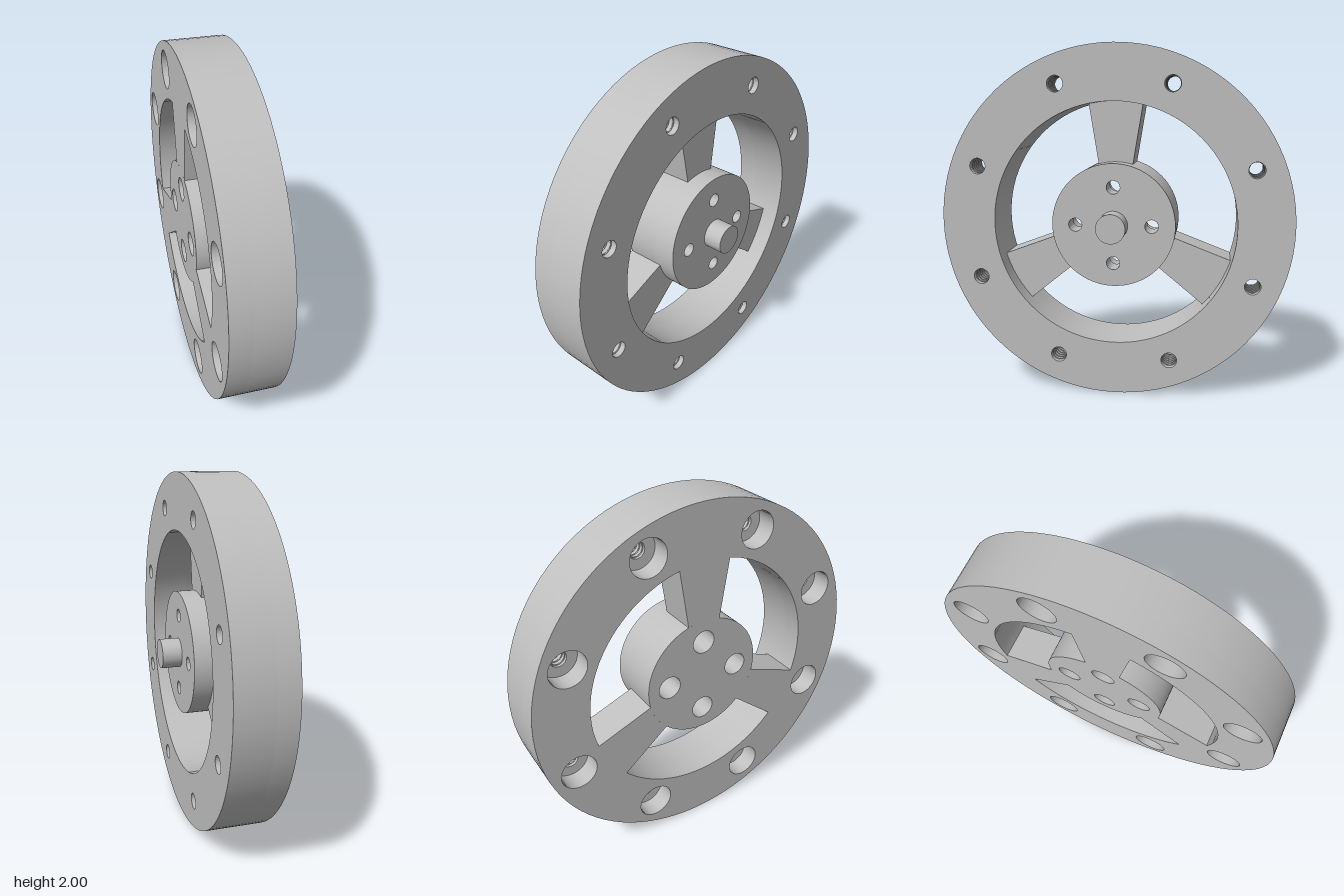
import * as THREE from 'three';
import { toCreasedNormals } from 'three/addons/utils/BufferGeometryUtils.js';

const BACK = -0.215, FRONT = 0.105;      // wheel faces along the axle
const SPOKE_FRONT = 0;                   // spokes are recessed from the front
const RIM_R = 1, RIM_INNER = 0.69, HUB_R = 0.35;

const steel = new THREE.MeshStandardMaterial({ color: 0xbfbfbf });
steel.name = 'steel grey';

// Extrude a shape (drawn as seen from the +x side) from x0 to x1
function plate(name, shape, x0, x1) {
  const geo = new THREE.ExtrudeGeometry(shape, { depth: x1 - x0, bevelEnabled: false, curveSegments: 48 });
  geo.rotateY(Math.PI / 2);
  geo.translate(x0, 0, 0);
  const mesh = new THREE.Mesh(toCreasedNormals(geo, 0.5), steel);
  mesh.name = name;
  return mesh;
}

function circle(r, cx = 0, cy = 0, Type = THREE.Path) {
  return new Type().absarc(cx, cy, r, 0, Math.PI * 2, false);
}

// Evenly spaced points on a bolt circle
function boltCircle(count, radius, start) {
  return Array.from({ length: count }, (_, i) => {
    const a = start + (i / count) * Math.PI * 2;
    return [Math.cos(a) * radius, Math.sin(a) * radius];
  });
}

function disc(outer, inner, holes, holeR) {
  const shape = circle(outer, 0, 0, THREE.Shape);
  if (inner) shape.holes.push(circle(inner));
  for (const [u, v] of holes) shape.holes.push(circle(holeR, u, v));
  return shape;
}

// Tapered spoke pointing up, its ends following the hub and rim
function spokeShape() {
  const inner = Math.acos(0.098 / HUB_R), outer = Math.acos(0.153 / RIM_INNER);
  const s = new THREE.Shape();
  s.absarc(0, 0, RIM_INNER, outer, Math.PI - outer, false);
  s.absarc(0, 0, HUB_R, Math.PI - inner, inner, true);
  s.closePath();
  return s;
}

export function createModel() {
  const model = new THREE.Group();
  model.name = 'wheel';
  const wheel = new THREE.Group();
  wheel.name = 'wheelBody';
  wheel.position.y = 1;
  model.add(wheel);

  // Rim: wide counterbores at the back, small bores at the front
  const rimBolts = boltCircle(8, 0.847, Math.PI / 8);
  const rimStep = -0.1;
  wheel.add(plate('rimBack', disc(RIM_R, RIM_INNER, rimBolts, 0.103), BACK, rimStep));
  wheel.add(plate('rimFront', disc(RIM_R, RIM_INNER, rimBolts, 0.045), rimStep, FRONT));

  // Thread ridges inside the small rim bores
  const ridge = new THREE.TorusGeometry(0.0445, 0.004, 6, 24).rotateY(Math.PI / 2);
  for (const [u, v] of rimBolts) {
    for (let x = rimStep + 0.02; x < FRONT - 0.01; x += 0.03) {
      const ring = new THREE.Mesh(ridge, steel);
      ring.name = 'threadRidge';
      ring.position.set(x, v, -u);
      wheel.add(ring);
    }
  }

  // Hub with four counterbored holes
  const hubBolts = boltCircle(4, 0.217, 0);
  const hubStep = -0.03;
  wheel.add(plate('hubBack', disc(HUB_R, 0, hubBolts, 0.067), BACK, hubStep));
  wheel.add(plate('hubFront', disc(HUB_R, 0, hubBolts, 0.038), hubStep, FRONT));

  // Three spokes
  for (let i = 0; i < 3; i++) {
    const spoke = plate('spoke', spokeShape(), BACK, SPOKE_FRONT);
    spoke.rotation.x = (i * Math.PI * 2) / 3;
    wheel.add(spoke);
  }

  // Stub axle on the front of the hub
  wheel.add(plate('axle', circle(0.083, 0, 0, THREE.Shape), FRONT, 0.215));
  return model;
}
